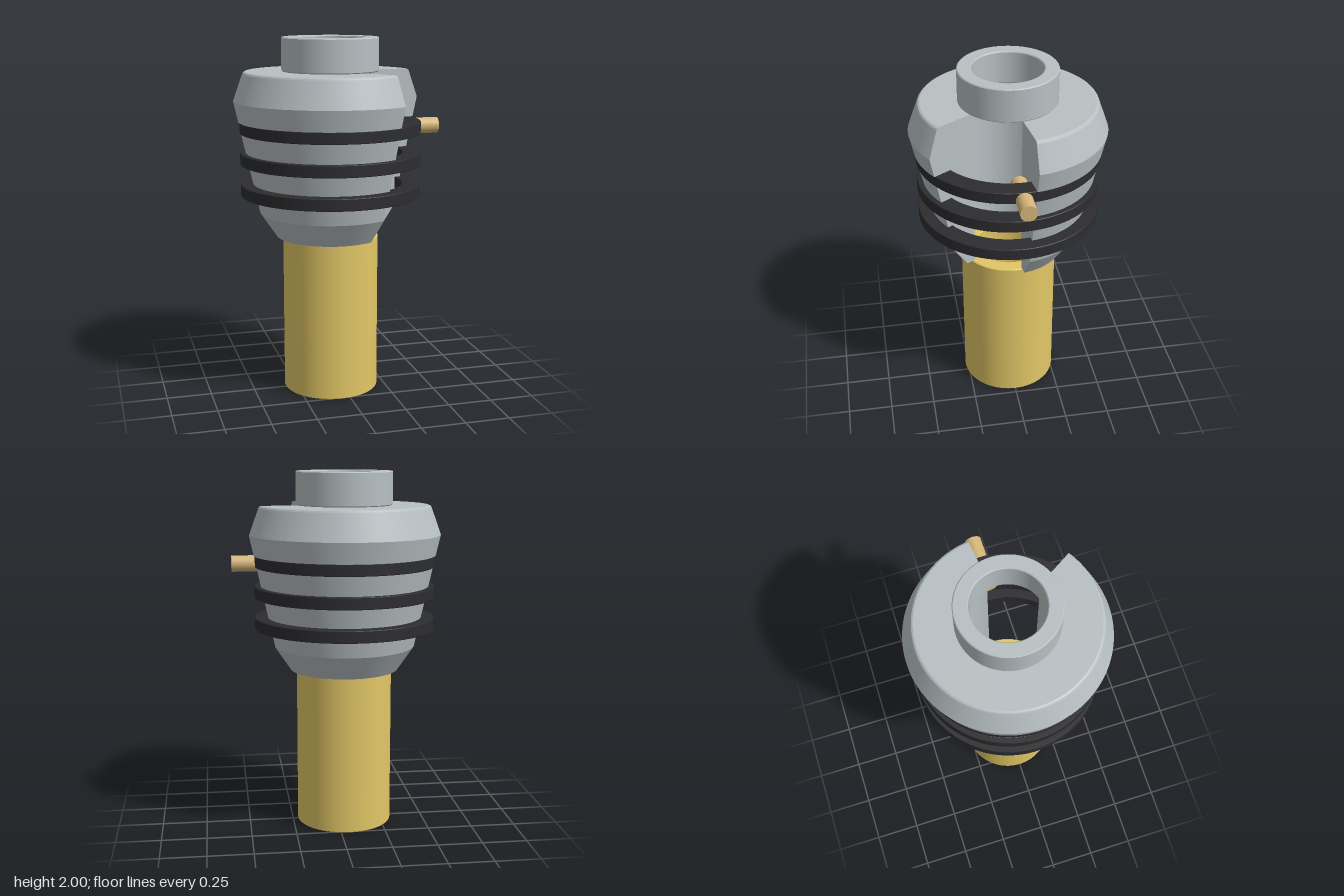
import * as THREE from 'three';
import { mergeGeometries } from 'three/addons/utils/BufferGeometryUtils.js';

const AXIS_X = -0.047;
const SEGMENTS = 96;
const rad = THREE.MathUtils.degToRad;

const material = (color) => new THREE.MeshStandardMaterial({ color });
const steel = material(0xb8c0c3);
const brass = material(0xe2c766);
const rubber = material(0x2d2d30);
const pinBrass = material(0xd6b67a);

// Revolves a closed [radius, y] outline (counter-clockwise) with sharp edges,
// and closes both ends with flat caps when it is not a full turn.
function revolve(outline, start = 0, length = Math.PI * 2) {
  const pts = outline.map(([r, y]) => new THREE.Vector2(r, y));
  const parts = pts.map((p, i) =>
    new THREE.LatheGeometry([p, pts[(i + 1) % pts.length]], SEGMENTS, start, length));
  if (length < Math.PI * 2) {
    const shape = new THREE.Shape(pts);
    const startCap = new THREE.ShapeGeometry(shape).rotateY(start - Math.PI / 2);
    // The end cap faces the other way: reverse its corners and normals
    const endCap = new THREE.ShapeGeometry(shape).rotateY(start + length - Math.PI / 2);
    endCap.setIndex([...endCap.index.array].reverse());
    endCap.attributes.normal.array.forEach((v, i, a) => { a[i] = -v; });
    parts.push(startCap, endCap);
  }
  return mergeGeometries(parts);
}

// Outline of a straight tube with slightly chamfered edges
const tube = (inner, outer, bottom, top, c = 0.005) => [
  [outer - c, bottom], [outer, bottom + c], [outer, top - c], [outer - c, top],
  [inner + c, top], [inner, top - c], [inner, bottom + c], [inner + c, bottom],
];

export function createModel() {
  const model = new THREE.Group();
  model.name = 'cutawayValve';

  const add = (name, geometry, mat, x = AXIS_X, y = 0) => {
    const mesh = new THREE.Mesh(geometry, mat);
    mesh.name = name;
    mesh.position.set(x, y, 0);
    model.add(mesh);
  };

  // Lower pipe and upper neck
  add('lowerPipe', revolve(tube(0.19, 0.268, 0, 0.895)), brass);
  add('upperNeck', revolve(tube(0.19, 0.268, 1.815, 2)), steel);

  // Three square-section bands, each sitting in a groove of the body
  const bands = [[1.13, 1.196], [1.305, 1.371], [1.478, 1.542]];
  bands.forEach(([bottom, top], i) => {
    add(`band${i + 1}`, revolve(tube(0.4, 0.502, bottom, top, 0.003)), rubber);
  });

  // Hollow body with a 65 degree sector cut out
  const flankRadius = (y) => THREE.MathUtils.mapLinear(y, 1.03, 1.655, 0.396, 0.535);
  const grooves = bands.flatMap(([bottom, top]) => [
    [flankRadius(bottom), bottom], [0.4, bottom], [0.4, top], [flankRadius(top), top],
  ]);
  const body = [
    [0.25, 0.895], [0.305, 0.895], [0.396, 1.03], ...grooves, [0.535, 1.655],
    [0.482, 1.802], [0.477, 1.81], [0.468, 1.815], [0.25, 1.815],
  ];
  add('body', revolve(body, rad(97.5), rad(295)), steel);

  // Small pin through the top band
  const pin = new THREE.CylinderGeometry(0.045, 0.045, 0.29, 32).rotateZ(Math.PI / 2);
  add('pin', pin, pinBrass, 0.435, 1.497);

  return model;
}
